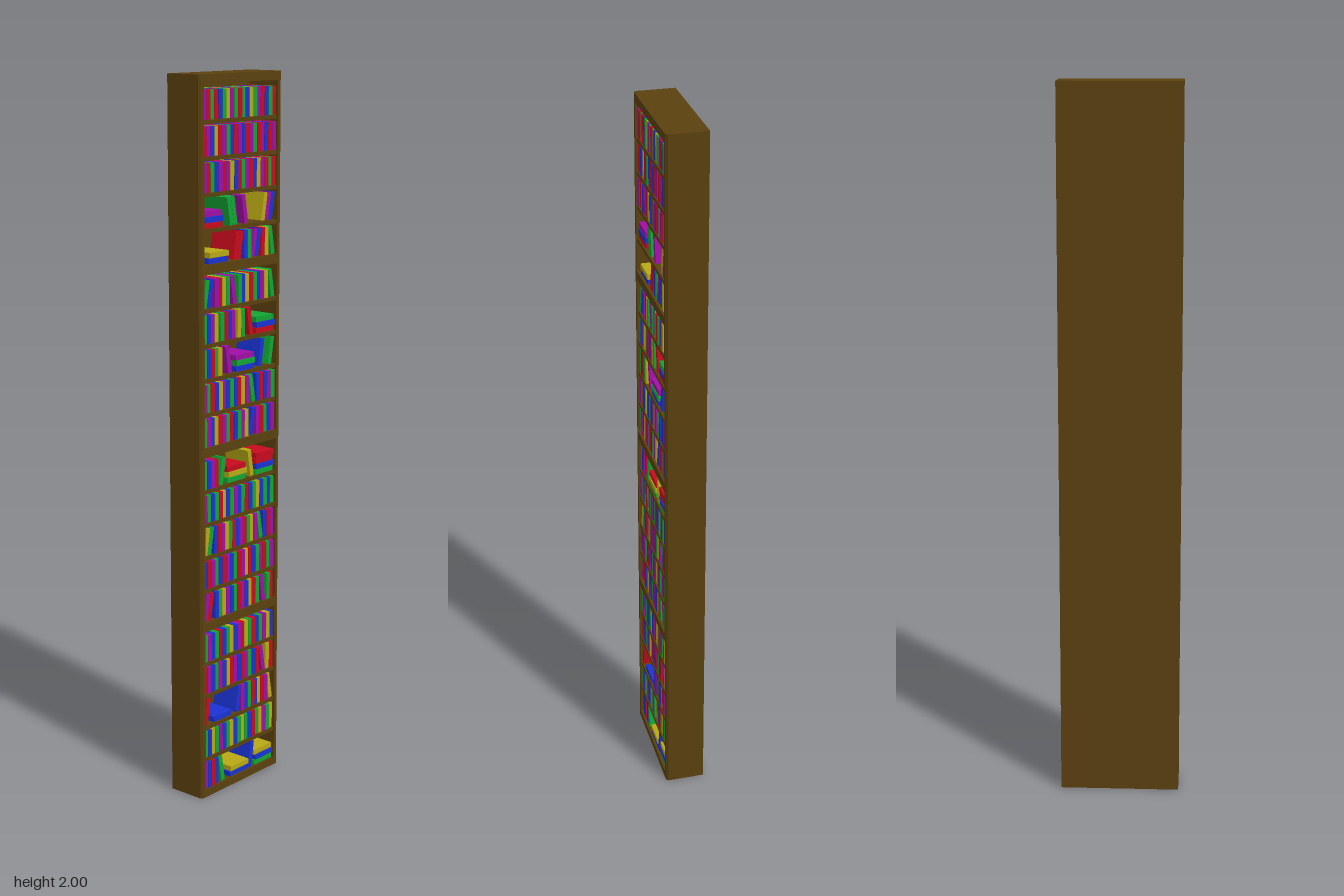
import * as THREE from 'three';

const W = 0.336, H = 2, BACK = -0.057, FRONT = 0.055, SIDE = 0.017;
const UNIT = 0.495, ROW = 0.0942, FLOOR = 0.022;
const BOOK = { w: 0.0155, h: 0.077, d: 0.084, z: 0.006 };
const LEAN = 0.17;

const mat = (color) => new THREE.MeshStandardMaterial({ color, flatShading: true });
const wood = mat(0x5a400f);
const covers = {
  r: mat(0xc80a1e), g: mat(0x12a532), b: mat(0x1a32d2), y: mat(0xb8a814), p: mat(0xa00fa5),
};

// Rows from bottom to top. Plain letters stand upright, / and \ lean right
// and left, = is a flat pile from the bottom up, - is an empty gap.
const ROWS = [
  'pbrb \\g - =by /b =gby',
  'gbyg pbgy bgyg brgy pgy',
  '/r - =b - /b pbgr byrp \\y',
  'rpbg pbyr pbrp gbr \\p yr',
  'gpbg rbgy bpry grbg pyb',
  '/pr bgyp bgrp byrg \\p gr',
  'brpg brpb grpy rbgp rgp',
  '/yg brpy grbp rgyp \\g brp',
  'pgbg rybg pbgr bgyb gbg',
  'gbpr /g =gyr \\y =gbrr',
  'gpby rpgr bgpy /b prgb p',
  'pgrb ypbg bryp \\g brbp g',
  'gbrgy \\p =bgp /b /g',
  'gbpy grbp yg \\r =rbg',
  '/gb pryg \\p gbyr gbpy \\g',
  '- =by - /rr bg /pb ry \\g',
  '=rbp \\gg \\p - /ypb',
  'prgb prpy brgp rbyp rgr',
  'rpby rpgb rpbr pgrp brp',
  'prgr bgyp grgb ygpr bgr',
];

function add(parent, name, geometry, material, x, y, z) {
  const mesh = new THREE.Mesh(geometry, material);
  mesh.name = name;
  mesh.position.set(x, y, z);
  parent.add(mesh);
  return mesh;
}

// Upright side panel with a chamfered outer front corner
function sidePanel(s) {
  const o = s * W / 2, i = s * (W / 2 - SIDE), c = 0.006;
  const pts = [[o, -BACK], [o, -FRONT + c], [o - s * c, -FRONT], [i, -FRONT], [i, -BACK]];
  const shape = new THREE.Shape(pts.map(([x, y]) => new THREE.Vector2(x, y)));
  return new THREE.ExtrudeGeometry(shape, { depth: H, bevelEnabled: false }).rotateX(-Math.PI / 2);
}

function buildCase() {
  const group = new THREE.Group();
  group.name = 'bookcase';
  const inner = W - 2 * SIDE;
  add(group, 'leftSide', sidePanel(1), wood, 0, 0, 0);
  add(group, 'rightSide', sidePanel(-1), wood, 0, 0, 0);
  add(group, 'backPanel', new THREE.BoxGeometry(inner, H, 0.012), wood, 0, H / 2, BACK + 0.006);
  const board = (name, y0, y1, front) => add(group, name,
    new THREE.BoxGeometry(inner, y1 - y0, front - BACK - 0.001), wood, 0, (y0 + y1) / 2, (front + BACK + 0.001) / 2);
  board('base', 0, FLOOR, FRONT);
  board('topBoard', 1.976, H, FRONT);
  for (let u = 0; u < 4; u++) {
    // Thick boards divide the four sections
    if (u > 0) board('divider', u * UNIT - 0.004, u * UNIT + FLOOR, FRONT);
    for (let r = 1; r < 5; r++) {
      const y = u * UNIT + FLOOR + r * ROW;
      board('shelf', y - 0.011, y, FRONT - 0.003);
    }
  }
  return group;
}

// Width taken by one run of books
function runWidth(run) {
  const n = run.length - 1;
  if (run[0] === '-') return 0.022;
  if (run[0] === '=') return 0.082;
  if ('/\\'.includes(run[0])) return n * BOOK.w / Math.cos(LEAN) + BOOK.h * Math.sin(LEAN);
  return run.length * BOOK.w;
}

function buildBooks(text, floor, rowIndex) {
  const group = new THREE.Group();
  group.name = 'bookRow';
  const { w, h, d, z } = BOOK;
  const upright = new THREE.BoxGeometry(w - 0.0008, h, d);
  const flat = new THREE.BoxGeometry(h, w - 0.0008, d);
  const runs = text.split(' ');
  const total = runs.reduce((sum, run) => sum + runWidth(run), 0);
  const space = (0.3 - total) / (runs.length - 1);
  let x = -0.15;
  for (const run of runs) {
    const kind = run[0], width = runWidth(run);
    if (kind === '=') {
      [...run.slice(1)].forEach((c, i) => add(group, 'lyingBook', flat, covers[c],
        x + width / 2 + (i % 2 ? 0.002 : -0.001), floor + w * (i + 0.5), z + (i % 2) * 0.002));
    } else if (kind === '/' || kind === '\\') {
      const step = w / Math.cos(LEAN);
      const box = w * Math.cos(LEAN) + h * Math.sin(LEAN);
      const y = floor + (h * Math.cos(LEAN) + w * Math.sin(LEAN)) / 2;
      [...run.slice(1)].forEach((c, i) => {
        const book = add(group, 'leaningBook', upright, covers[c], x + box / 2 + i * step, y, z);
        book.rotation.z = kind === '/' ? -LEAN : LEAN;
      });
    } else if (kind !== '-') {
      [...run].forEach((c, i) => add(group, 'uprightBook', upright, covers[c],
        x + w * (i + 0.5), floor + h / 2, z + ((i + rowIndex) % 3) * 0.001));
    }
    x += width + space;
  }
  return group;
}

export function createModel() {
  const model = new THREE.Group();
  model.name = 'tallBookcase';
  model.add(buildCase());
  ROWS.forEach((text, i) => {
    const floor = Math.floor(i / 5) * UNIT + FLOOR + (i % 5) * ROW;
    model.add(buildBooks(text, floor, i));
  });
  return model;
}
